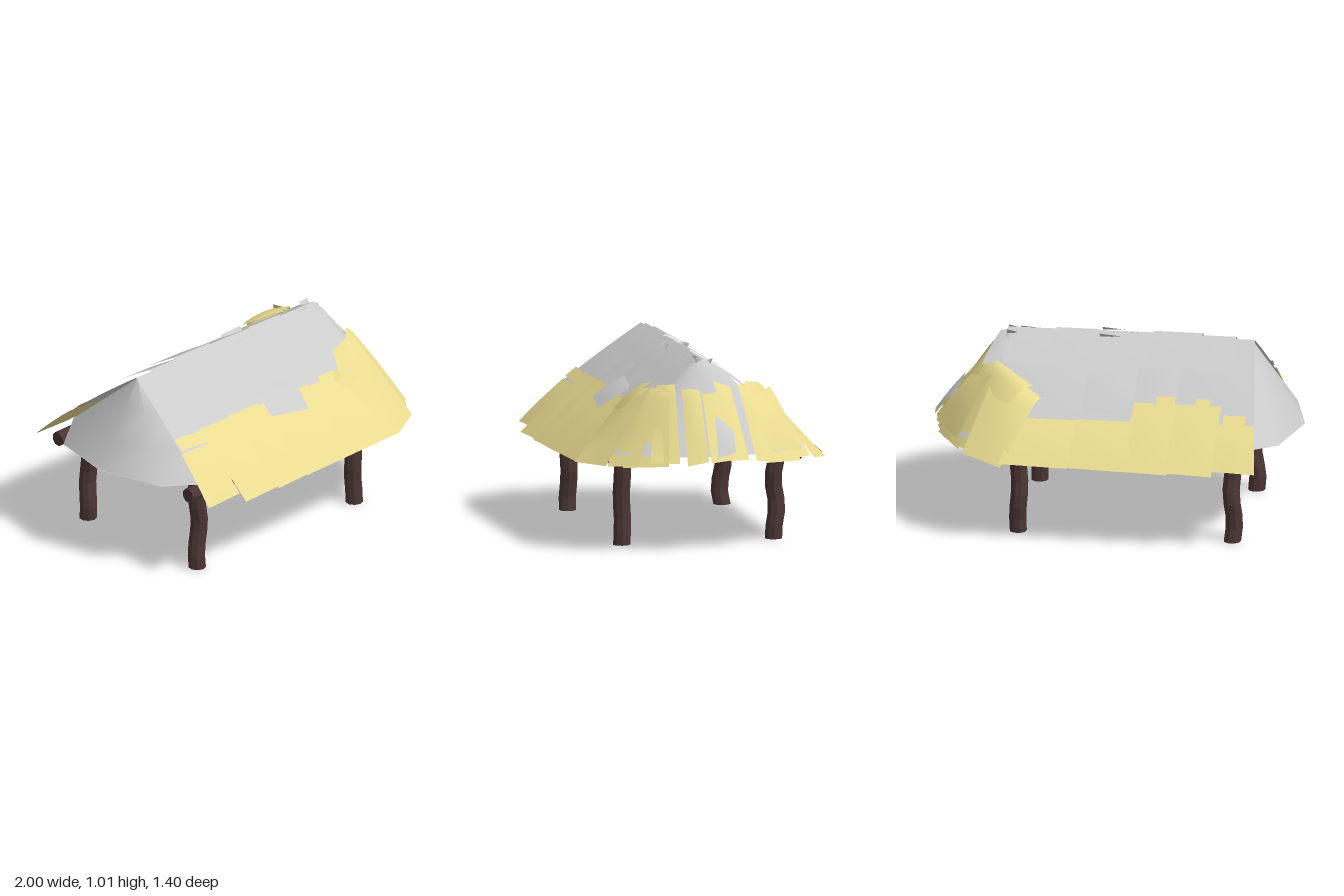
import * as THREE from 'three';

const mat = (color, flatShading = false) =>
  new THREE.MeshStandardMaterial({ color, flatShading, side: THREE.DoubleSide });
const GREY = mat(0xcccccc);
const STRAW = mat(0xe9db90);
const WOOD = mat(0x4b3535, true);

// Smooth surface through a grid of points given by fn(u, v) -> [x, y, z]
function surface(fn, nu, nv) {
  const pos = [], index = [];
  for (let j = 0; j <= nv; j++)
    for (let i = 0; i <= nu; i++) pos.push(...fn(i / nu, j / nv));
  for (let j = 0; j < nv; j++)
    for (let i = 0; i < nu; i++) {
      const a = j * (nu + 1) + i, b = a + nu + 1;
      index.push(a, b, a + 1, a + 1, b, b + 1);
    }
  const g = new THREE.BufferGeometry();
  g.setAttribute('position', new THREE.Float32BufferAttribute(pos, 3));
  g.setIndex(index);
  g.computeVertexNormals();
  return g;
}

const lerp = (a, b, t) => a.map((v, i) => v + (b[i] - v) * t);

// Four-cornered sheet (two upper corners, two lower corners), arched by bulge;
// skew below 1 moves the arch towards the upper edge
function sheet([a, b, c, d], bulge = 0, skew = 1) {
  return surface((u, v) => {
    const p = lerp(lerp(a, b, u), lerp(d, c, u), v);
    p[1] += bulge * Math.sin(Math.PI * v ** skew) * (0.6 + 0.4 * Math.sin(Math.PI * u));
    return p;
  }, 5, 8);
}

// Point on an open polyline of equal-weight segments
function along(points, u) {
  const f = u * (points.length - 1), i = Math.min(Math.floor(f), points.length - 2);
  return lerp(points[i], points[i + 1], f - i);
}

// Crooked log from height 0 to h, swaying by (sx, sz)
function log(r, h, sx, sz, phase) {
  const g = new THREE.CylinderGeometry(r, r, h, 9, 7);
  g.translate(0, h / 2, 0);
  const p = g.attributes.position;
  for (let i = 0; i < p.count; i++) {
    const y = p.getY(i);
    p.setX(i, p.getX(i) + sx * Math.sin(y * 17 + phase));
    p.setZ(i, p.getZ(i) + sz * Math.sin(y * 21 + phase * 2));
  }
  return g;
}

export function createModel() {
  const model = new THREE.Group();
  const add = (name, geometry, material, parent) => {
    const m = new THREE.Mesh(geometry, material);
    m.name = name;
    parent.add(m);
    return m;
  };
  const group = (name) => {
    const g = new THREE.Group();
    g.name = name;
    model.add(g);
    return g;
  };

  // Four crooked posts
  const posts = group('posts');
  [[-0.675, 0.415, 0.012, 0.003, 3.6], [0.485, 0.415, 0.005, 0.003, 1],
    [-0.67, -0.428, 0.008, 0.01, 3], [0.485, -0.428, 0.006, 0.01, 0.5]]
    .forEach(([x, z, sx, sz, ph]) => add('post', log(0.047, 0.5, sx, sz, ph), WOOD, posts).position.set(x, 0, z));

  // Long eave beams and the cross poles between them
  const frame = group('roofFrame');
  for (const z of [0.48, -0.515]) {
    const beam = add('eaveBeam', log(0.04, 1.43, 0.003, 0.003, z), WOOD, frame);
    beam.rotation.z = Math.PI / 2;
    beam.position.set(0.62, 0.482, z);
  }
  for (const x of [0.41, 0.16, -0.09, -0.36, -0.62]) {
    const pole = add('crossPole', new THREE.CylinderGeometry(0.016, 0.016, 0.96, 7), WOOD, frame);
    pole.rotation.x = Math.PI / 2;
    pole.position.set(x, 0.542, -0.01);
  }

  // Grey roof shell: faceted right hip with its soffit, rounded left hip, two slopes
  const shell = group('roofShell');
  const rightBase = [[-0.64, 0.53, -0.57], [-0.91, 0.53, -0.37], [-1, 0.535, 0], [-0.91, 0.53, 0.37], [-0.64, 0.53, 0.57]];
  add('rightHip', surface((u, v) => lerp([-0.72, 0.985, 0], along(rightBase, u), v), 4, 3), GREY, shell);
  const soffit = [[-0.79, -0.46], [-0.91, -0.37], [-1, 0], [-0.91, 0.37], [-0.79, 0.46]];
  const soffitMesh = add('rightSoffit', new THREE.ShapeGeometry(new THREE.Shape(soffit.map(([x, z]) => new THREE.Vector2(x, z)))), GREY, shell);
  soffitMesh.rotation.x = Math.PI / 2;
  soffitMesh.position.y = 0.531;
  const hipProfile = [[0, 1.0], [0.13, 0.97], [0.3, 0.885], [0.65, 0.7], [1, 0.53]];
  add('leftHip', surface((u, v) => {
    const a = (u - 0.5) * Math.PI, [r, y] = along(hipProfile, v);
    return [0.58 + 0.36 * r * Math.cos(a), y, -0.565 * r * Math.sin(a)];
  }, 16, 8), GREY, shell);
  for (const s of [1, -1]) {
    add('slope', sheet([[-0.72, 0.985, 0], [0.58, 0.985, 0], [0.58, 0.53, 0.57 * s], [-0.64, 0.53, 0.57 * s]], 0.01), GREY, shell);
  }

  // Upper grey cover sheets
  const covers = group('coverSheets');
  for (const s of [1, -1]) {
    const cuts = [-0.73, -0.35, -0.13, 0.13, 0.6];
    for (let i = 0; i < 4; i++) {
      const [x0, x1] = [cuts[i], cuts[i + 1]], k = i === 0 ? 0.06 : 0.01;
      const lift = 0.003 * (i % 2);
      add('coverSheet', sheet([[x0, 0.99 + lift, 0], [x1, 0.99 + lift, 0],
        [x1, 0.655 + lift, 0.45 * s], [x0 - k, 0.65 + lift, 0.46 * s]], 0.012), GREY, covers);
    }
  }
  // Loose patches lying over the thatch
  [[[-0.1, 0.83, 0.22], [0.16, 0.785, 0.29], [0.12, 0.68, 0.45], [-0.13, 0.705, 0.42]],
    [[-0.12, 0.87, -0.2], [0.14, 0.87, -0.2], [0.14, 0.685, -0.46], [-0.13, 0.7, -0.45]],
    [[0.825, 0.74, -0.01], [0.87, 0.65, -0.105], [0.97, 0.55, -0.09], [0.985, 0.53, 0.01]]]
    .forEach((c) => add('loosePatch', sheet(c, 0.012), GREY, covers));

  // Ridge caps folded over the top; the last one curls over the left hip
  const ridge = group('ridgeCaps');
  [[-0.63, -0.43, 0], [-0.45, -0.185, 0.012], [-0.19, 0.12, 0.003], [0.11, 0.34, 0.008], [0.19, 0.6, 0]]
    .forEach(([x0, x1, lift]) => {
      for (const s of [1, -1]) {
        const z = s > 0 ? 0.185 : 0.215;
        add('ridgeCap', sheet([[x0, 1.003 + lift, 0], [x1, 1.003 + lift, 0],
          [x1, 0.876 + lift, z * s], [x0, 0.876 + lift, z * s]], 0.004), GREY, ridge);
      }
    });
  add('ridgeCap', sheet([[0.55, 1, 0], [0.64, 0.98, 0], [0.71, 0.86, -0.21], [0.58, 0.87, -0.215]], 0.02), GREY, ridge);
  // Loose splinters along the ridge
  [[0.03, 0.06, 0.07], [0.03, -0.05, 0.07], [-0.15, 0, 0.1], [0.57, 0.03, 0.03], [0.57, -0.05, 0.03], [0.45, 0.02, 0.08]]
    .forEach(([x, z, w], i) => {
      add('splinter', sheet([[x - w, 0.995, z - 0.012], [x + w, 1.005, z - 0.006],
        [x + w, 0.985 - 0.005 * i, z + 0.012], [x - w, 0.99, z + 0.008]]), GREY, ridge);
    });

  // Straw sheets on both long sides: x at top, x at bottom, top z, bottom z, bottom y
  const sides = group('sideThatch');
  const roofY = (z) => 1.052 - 0.87 * Math.abs(z);
  const frontStrips = [
    [-0.79, -0.59, -0.82, -0.58, 0.41, 0.65, 0.468], [-0.6, -0.36, -0.59, -0.33, 0.345, 0.7, 0.448],
    [-0.37, -0.15, -0.34, -0.11, 0.335, 0.695, 0.445], [-0.16, 0.21, -0.13, 0.21, 0.345, 0.695, 0.452],
    [0.18, 0.5, 0.2, 0.57, 0.35, 0.685, 0.458]];
  const backStrips = [
    [-0.79, -0.59, -0.82, -0.58, 0.45, 0.675, 0.462], [-0.6, -0.36, -0.59, -0.34, 0.37, 0.7, 0.448],
    [-0.37, -0.13, -0.35, -0.11, 0.365, 0.695, 0.445], [-0.13, 0.16, -0.14, 0.2, 0.46, 0.695, 0.452],
    [0.14, 0.46, 0.19, 0.56, 0.46, 0.69, 0.455]];
  [[frontStrips, 1], [backStrips, -1]].forEach(([strips, s]) => strips.forEach(([t0, t1, b0, b1, zt, zb, yb], i) => {
    const yt = roofY(zt) + 0.005 * (i % 2);
    add('strawSheet', sheet([[t0, yt, zt * s], [t1, yt, zt * s],
      [b1, yb + 0.006, (zb - 0.01) * s], [b0, yb, zb * s]], 0.01), STRAW, sides);
  }));
  // Ragged tufts above the straw edge
  [[-0.73, 0.345, 0.1, 1], [-0.64, 0.35, 0.08, 1], [0.36, 0.33, 0.12, 1],
    [-0.5, -0.34, 0.08, -1], [-0.3, -0.335, 0.1, -1], [-0.68, -0.41, 0.12, -1]]
    .forEach(([x, z, w, s]) => {
      const y = roofY(z) + 0.004, z2 = z + 0.06 * s, y2 = roofY(z2) + 0.01;
      add('tuft', sheet([[x - w / 2, y, z], [x + w / 2, y, z], [x + w / 2, y2, z2], [x - w / 2, y2, z2]]), STRAW, sides);
    });

  // Overlapping, slightly twisted straw sheets fanned round the left hip
  const hip = group('hipThatch');
  const fan = [
    [[0.38, 0.74, 0.38], [0.62, 0.87, 0.25], [0.78, 0.475, 0.575], [0.56, 0.455, 0.69], 0.05],
    [[0.43, 0.8, 0.36], [0.64, 0.87, 0.22], [0.87, 0.485, 0.42], [0.75, 0.47, 0.56], 0.07],
    [[0.5, 0.84, 0.33], [0.67, 0.87, 0.2], [0.945, 0.485, 0.27], [0.81, 0.475, 0.49], 0.06],
    [[0.6, 0.87, 0.25], [0.68, 0.87, 0.17], [0.955, 0.5, 0.21], [0.9, 0.485, 0.36], 0.045],
    [[0.66, 0.88, 0.13], [0.69, 0.885, 0.04], [0.99, 0.51, 0.06], [0.965, 0.495, 0.17], 0.025]];
  for (const s of [1, -1]) {
    fan.forEach(([a, b, c, d, bulge], i) => {
      const twist = 0.014 * Math.sin(i * 2.3 + s);
      const corners = [a, b, c, d].map(([x, y, z], k) => [x - Math.abs(twist), y + (k % 2 ? twist : 0), z * s]);
      add('hipSheet', sheet(corners, bulge, 0.5), STRAW, hip);
    });
  }
  add('hipSheet', sheet([[0.67, 0.89, 0.03], [0.68, 0.88, -0.05], [0.985, 0.515, -0.07], [1, 0.505, 0.05]], 0.012), STRAW, hip);
  // Curled pieces at the shoulders of the hip
  add('curledStraw', sheet([[0.45, 0.86, 0.29], [0.58, 0.89, 0.27], [0.56, 0.74, 0.44], [0.38, 0.72, 0.44]], 0.02), STRAW, hip);
  add('curledStraw', sheet([[0.64, 0.85, -0.36], [0.77, 0.8, -0.22], [0.95, 0.55, -0.27], [0.81, 0.53, -0.49]], 0.03), STRAW, hip);
  return model;
}
